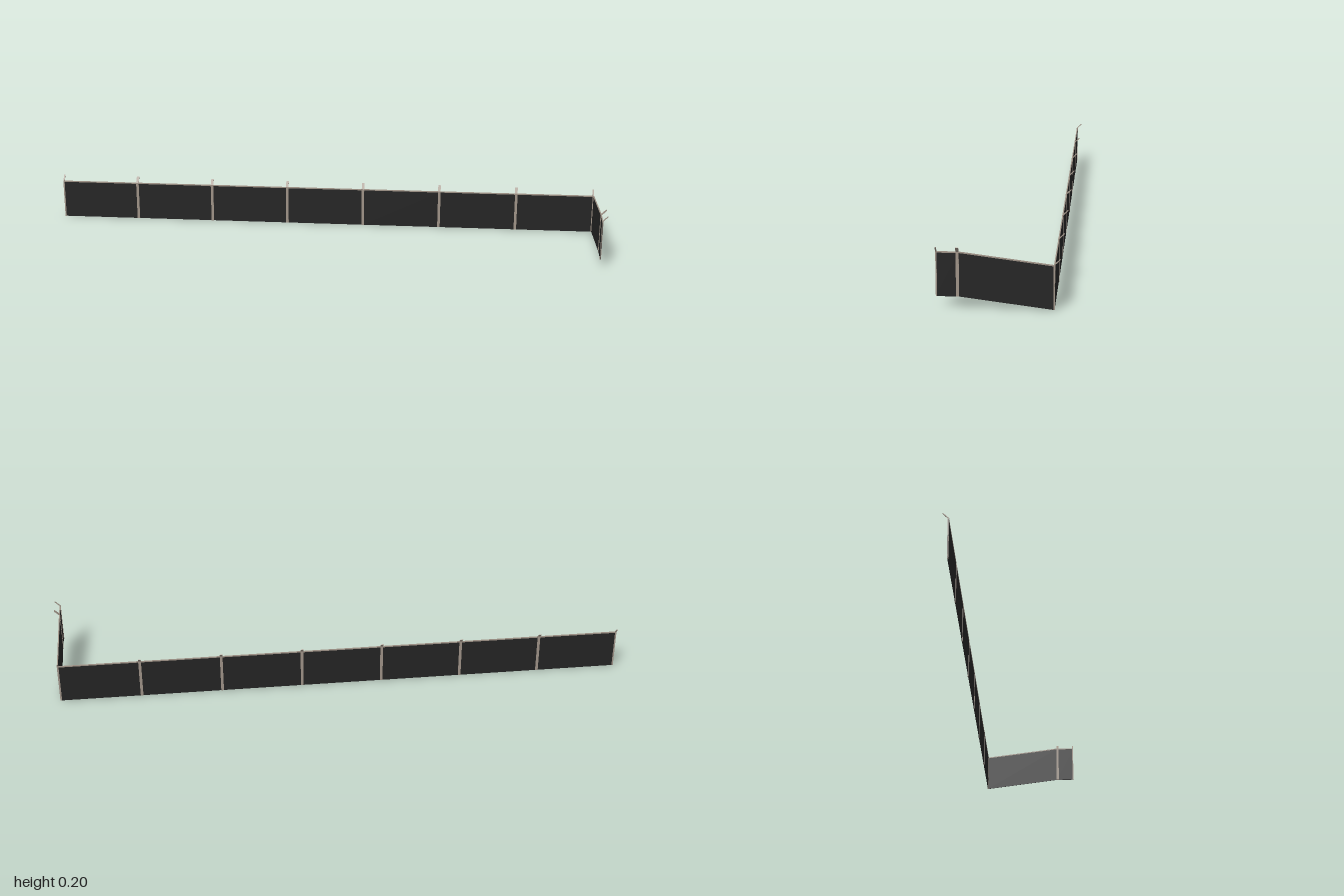
import * as THREE from 'three';

const H = 0.141, RISE = 0.036;          // fence height, climb of the side run
const X0 = -1, X1 = 0.981;              // back run ends
const Z0 = -0.17, ZM = 0.122, Z1 = 0.188; // side run: corner, middle post, end
const POST = 0.0095, DEPTH = 0.0044;    // post width and thickness

export function createModel() {
  const model = new THREE.Group();
  model.name = 'fence';
  const screen = new THREE.MeshStandardMaterial({ color: 0x242424 });
  screen.name = 'dark screen';
  const metal = new THREE.MeshStandardMaterial({ color: 0xa09488 });
  metal.name = 'weathered metal';

  const add = (parent, name, geo, mat) => {
    const mesh = new THREE.Mesh(geo, mat);
    mesh.name = name;
    parent.add(mesh);
    return mesh;
  };

  // one run is built along local x, facing local +z; dy shears it uphill
  function panel(run, a, b, y, dy) {
    const bar = (name, h, depth, base, mat) => {
      const geo = new THREE.BoxGeometry(b - a, h, depth);
      const p = geo.attributes.position;
      for (let i = 0; i < p.count; i++) {
        const t = p.getX(i) / (b - a) + 0.5;
        p.setY(i, p.getY(i) + h / 2 + base + y + t * dy);
      }
      geo.computeVertexNormals();
      add(run, name, geo, mat).position.x = (a + b) / 2;
    };
    bar('screenPanel', H - 0.004, 0.0016, 0, screen);
    bar('topRail', 0.004, 0.0036, H - 0.004, metal);
  }

  // upright with an arm leaning out at 45 degrees towards local -z
  function post(run, a, b, y) {
    const w = b - a, x = (a + b) / 2;
    add(run, 'post', new THREE.BoxGeometry(w, H, DEPTH), metal).position.set(x, y + H / 2, 0);
    const arm = add(run, 'leaningArm', new THREE.BoxGeometry(w, 0.0255, 0.0026), metal);
    arm.position.set(x, y + H + 0.0085, -0.0085);
    arm.rotation.x = -Math.PI / 4;
  }

  // long back run: seven equal bays
  const back = new THREE.Group();
  back.name = 'backRun';
  back.position.z = Z0;
  const bays = 7, step = (X1 - X0) / bays;
  for (let i = 0; i < bays; i++) panel(back, X0 + i * step, X0 + (i + 1) * step, 0, 0);
  for (let i = 0; i <= bays; i++) {
    const x = X0 + i * step;
    post(back, i === 0 ? x : x - POST / 2, i === bays ? x : x + POST / 2, 0);
  }
  model.add(back);

  // short side run: a climbing bay, then a level one
  const side = new THREE.Group();
  side.name = 'sideRun';
  side.position.x = X1 - 0.001;
  side.rotation.y = -Math.PI / 2; // local x -> +z, local -z -> +x
  panel(side, Z0, ZM - POST / 2, 0, RISE);
  panel(side, ZM - POST / 2, Z1, RISE, 0);
  post(side, ZM - POST / 2, ZM + POST / 2, RISE);
  post(side, Z1 - 0.004, Z1, RISE);
  add(side, 'cornerPost', new THREE.BoxGeometry(0.004, H, DEPTH), metal).position.set(Z0 + 0.001, H / 2, 0);
  model.add(side);

  return model;
}
